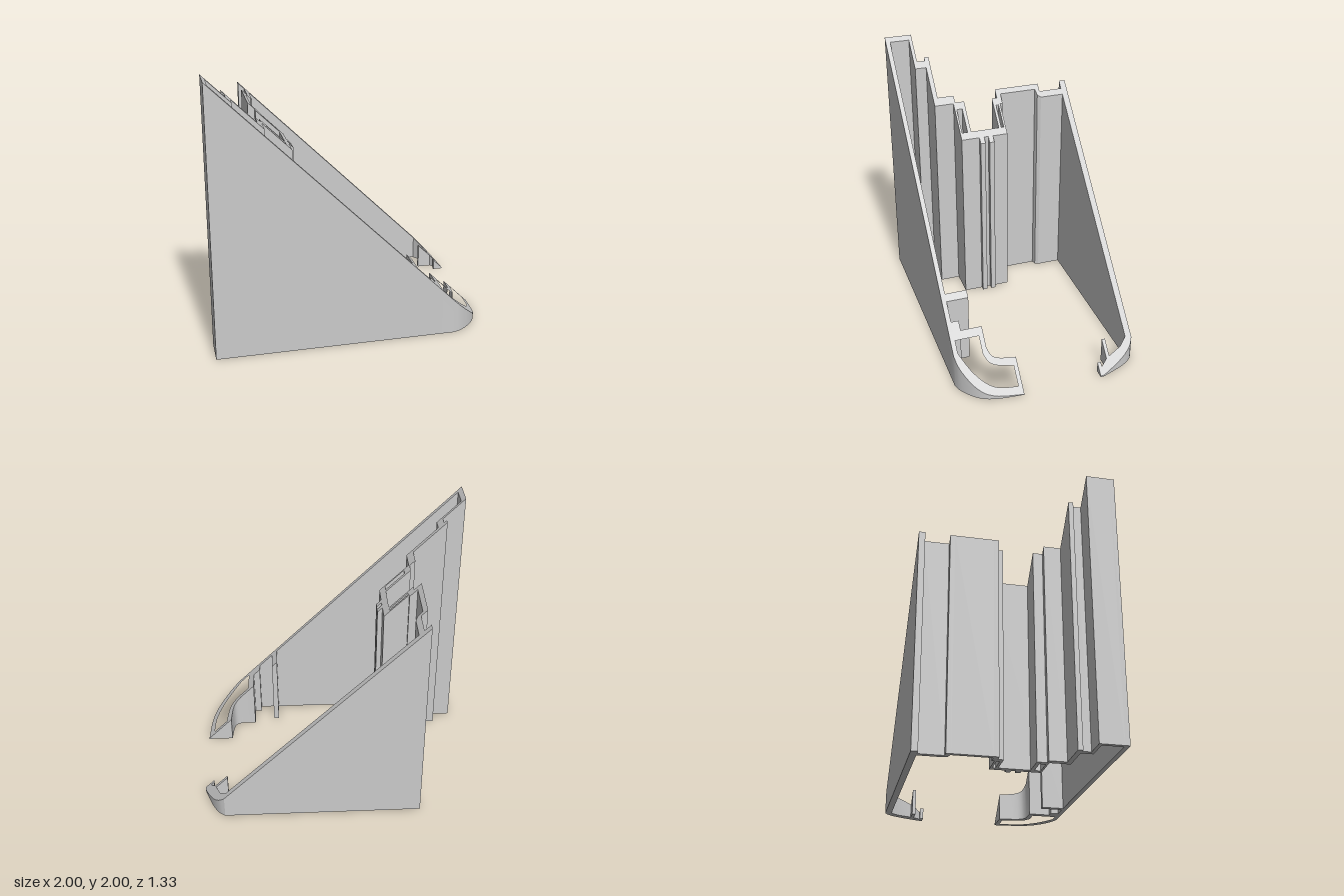
import * as THREE from 'three';
import { toCreasedNormals } from 'three/addons/utils/BufferGeometryUtils.js';

const material = new THREE.MeshStandardMaterial({ color: 0xcccccc });

// smooth run through [x, z] points
function curve(points, steps) {
  const c = new THREE.CatmullRomCurve3(points.map(([x, z]) => new THREE.Vector3(x, 0, z)), false, 'centripetal');
  return c.getPoints(steps).map(p => [p.x, p.z]);
}

// plan outlines are [x, z]; shapes are drawn with y = -z
const toVec = pts => pts.map(([x, z]) => new THREE.Vector2(x, -z));

// upright wall whose top is mitred by the sloping plane y = 1 - x
function mitred(name, outline, hole) {
  const shape = new THREE.Shape(toVec(outline));
  if (hole) shape.holes.push(new THREE.Path(toVec(hole)));
  const geo = new THREE.ExtrudeGeometry(shape, { depth: 2, bevelEnabled: false });
  geo.rotateX(-Math.PI / 2);
  const p = geo.attributes.position;
  for (let i = 0; i < p.count; i++) {
    if (p.getY(i) > 1) p.setY(i, 1 - p.getX(i));
  }
  const mesh = new THREE.Mesh(toCreasedNormals(geo, 0.5), material);
  mesh.name = name;
  return mesh;
}

// straight wall from its plan extents
const wall = (name, x0, x1, z0, z1) => mitred(name, [[x0, z0], [x1, z0], [x1, z1], [x0, z1]]);

// rounded front nose with its hollow chamber
function frontNose() {
  const outline = [
    ...curve([[0.995, 0.225], [0.975, 0.42], [0.945, 0.51], [0.89, 0.58], [0.80, 0.645], [0.74, 0.664]], 16),
    [0.62, 0.664], [0.62, 0.42],
    ...curve([[0.73, 0.42], [0.77, 0.40], [0.79, 0.36], [0.805, 0.225]], 8),
  ];
  const chamber = [
    [0.665, 0.63], [0.665, 0.455],
    ...curve([[0.76, 0.455], [0.80, 0.43], [0.825, 0.38], [0.845, 0.255]], 8),
    ...curve([[0.95, 0.255], [0.935, 0.40], [0.90, 0.48], [0.83, 0.56], [0.73, 0.63]], 12),
  ];
  return mitred('frontNose', outline, chamber);
}

// tapered back nose with a small rib and a hooked tip
function backNose() {
  return mitred('backNose', [
    [0.82, -0.664],
    ...curve([[0.83, -0.664], [0.865, -0.64], [0.91, -0.58], [0.955, -0.48], [0.99, -0.385]], 10),
    [0.99, -0.36], [0.92, -0.36], [0.92, -0.385], [0.945, -0.385],
    [0.91, -0.435], [0.81, -0.435], [0.81, -0.46], [0.90, -0.46],
    [0.865, -0.56], [0.82, -0.618],
  ]);
}

export function createModel() {
  const group = new THREE.Group();
  group.name = 'mitredFrameSection';

  // front wall with its inner rib and stub
  group.add(
    wall('frontWall', -1, 0.62, 0.63, 0.664),
    wall('frontRib', 0.425, 0.465, 0.47, 0.63),
    wall('frontStub', 0.57, 0.62, 0.575, 0.63),
    frontNose()
  );

  // stepped web from the front corner to the channel
  group.add(
    wall('cornerWeb', -1, -0.97, 0.46, 0.63),
    wall('cornerReturn', -0.97, -0.80, 0.46, 0.485),
    wall('stepWeb', -0.84, -0.80, 0.40, 0.46),
    wall('stepReturn', -0.86, -0.575, 0.365, 0.40),
    wall('middleWeb', -0.62, -0.575, 0.24, 0.365)
  );

  // central channel with a narrow pocket on each side
  group.add(
    wall('channelFloor', -0.405, -0.365, -0.105, 0.24),
    wall('frontPocketCap', -0.58, -0.54, 0.17, 0.24),
    wall('frontPocketWall', -0.575, -0.365, 0.24, 0.255),
    wall('channelFrontWall', -0.54, -0.405, 0.17, 0.197),
    wall('backPocketCap', -0.575, -0.535, -0.09, -0.05),
    wall('channelBackWall', -0.535, -0.405, -0.07, -0.05),
    wall('backPocketWall', -0.54, -0.405, -0.105, -0.09)
  );
  for (const z of [0.01, 0.08]) group.add(wall('channelRib', -0.365, -0.33, z, z + 0.037));

  // stepped web from the channel to the back wall
  group.add(
    wall('backReturn', -0.625, -0.54, -0.125, -0.09),
    wall('backWeb', -0.625, -0.595, -0.405, -0.125),
    mitred('backStep', [[-0.625, -0.44], [-0.545, -0.44], [-0.56, -0.415], [-0.595, -0.405], [-0.625, -0.405]]),
    wall('rearWeb', -0.58, -0.545, -0.618, -0.44)
  );

  // back wall
  group.add(wall('backWall', -0.625, 0.82, -0.664, -0.618), backNose());
  return group;
}
